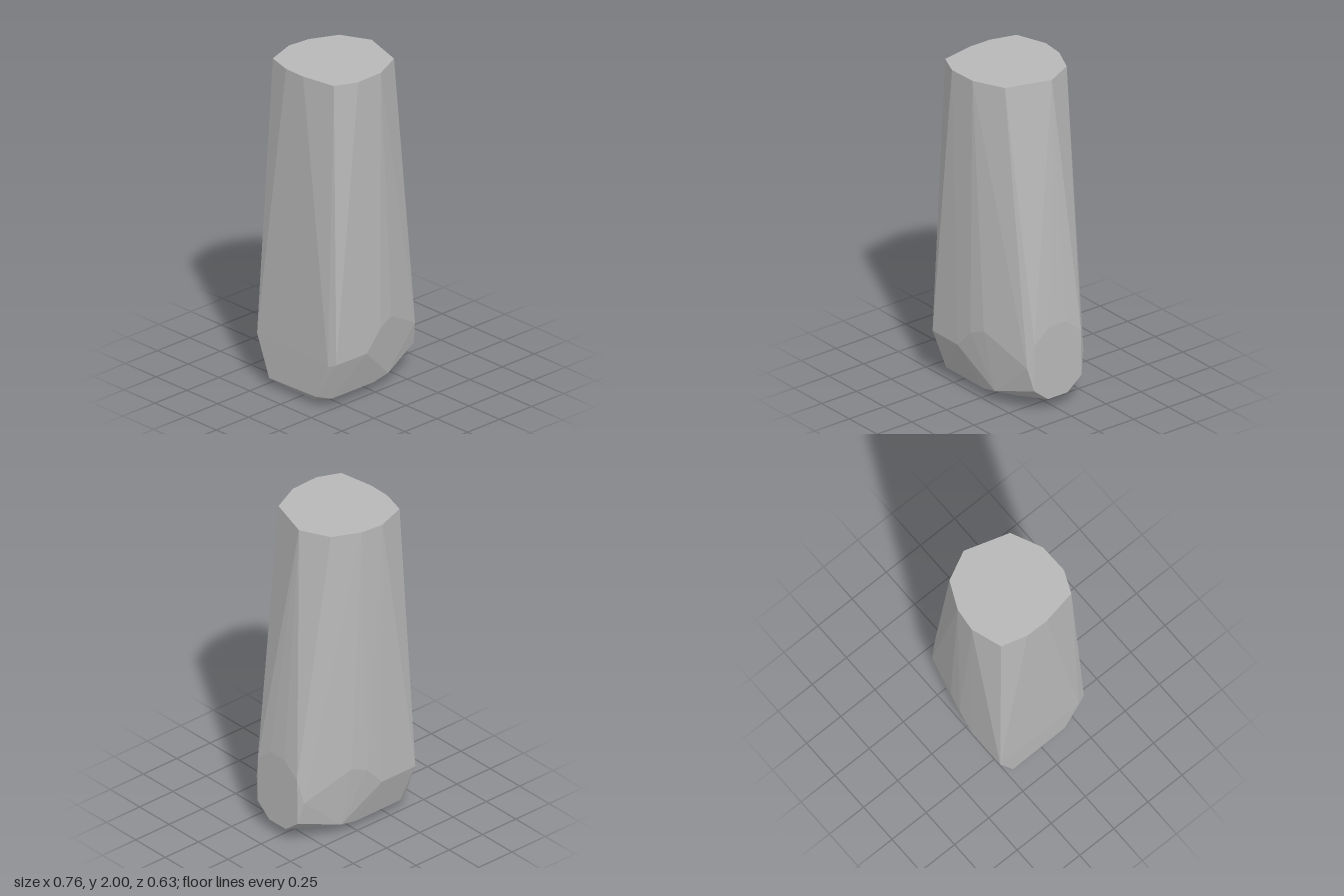
import * as THREE from 'three';
import { ConvexGeometry } from 'three/addons/geometries/ConvexGeometry.js';

export function createModel() {
  const model = new THREE.Group();
  model.name = 'standingStone';
  const stone = new THREE.MeshStandardMaterial({ color: 0xb8b8b8 });
  stone.name = 'grey stone';
  stone.flatShading = true;

  const points = [];
  const add = (x, y, z) => points.push(new THREE.Vector3(x, y, z));

  // flat top outline (x, z)
  [
    [-0.36, -0.1], [-0.315, -0.255], [-0.13, -0.317], [0.01, -0.302],
    [0.175, -0.225], [0.26, -0.05], [0.175, 0.22], [-0.01, 0.306],
    [-0.19, 0.31], [-0.325, 0.252], [-0.362, 0.04],
  ].forEach(([x, z]) => add(x, 2, z));

  // chipped corners mirrored between front and back (x, y, z)
  [
    // narrow flat side facing +x
    [0.377, 0.08, 0.07], [0.377, 0.16, 0.17], [0.377, 0.44, 0.167], [0.377, 0.53, 0.06],
    // lower chips on the broad faces
    [0.355, 0.3, 0.202], [0.08, 0.46, 0.295], [-0.02, 0.42, 0.313],
    [-0.13, 0.3, 0.316], [0.11, 0.08, 0.24], [0, 0.055, 0.235], [-0.33, 0.06, 0.24],
    // underside
    [0.11, 0.008, 0.09], [-0.33, 0.01, 0.1],
  ].forEach(([x, y, z]) => { add(x, y, z); add(x, y, -z); });
  add(-0.1, 0, 0);

  // uneven flat side facing -x
  add(-0.363, 0.3, 0.312);
  add(-0.38, 0.28, 0.262);
  add(-0.377, 0.06, 0.16);
  add(-0.377, 0.05, -0.22);
  add(-0.38, 0.3, -0.315);

  const mesh = new THREE.Mesh(new ConvexGeometry(points), stone);
  mesh.name = 'chippedStone';
  model.add(mesh);
  return model;
}
